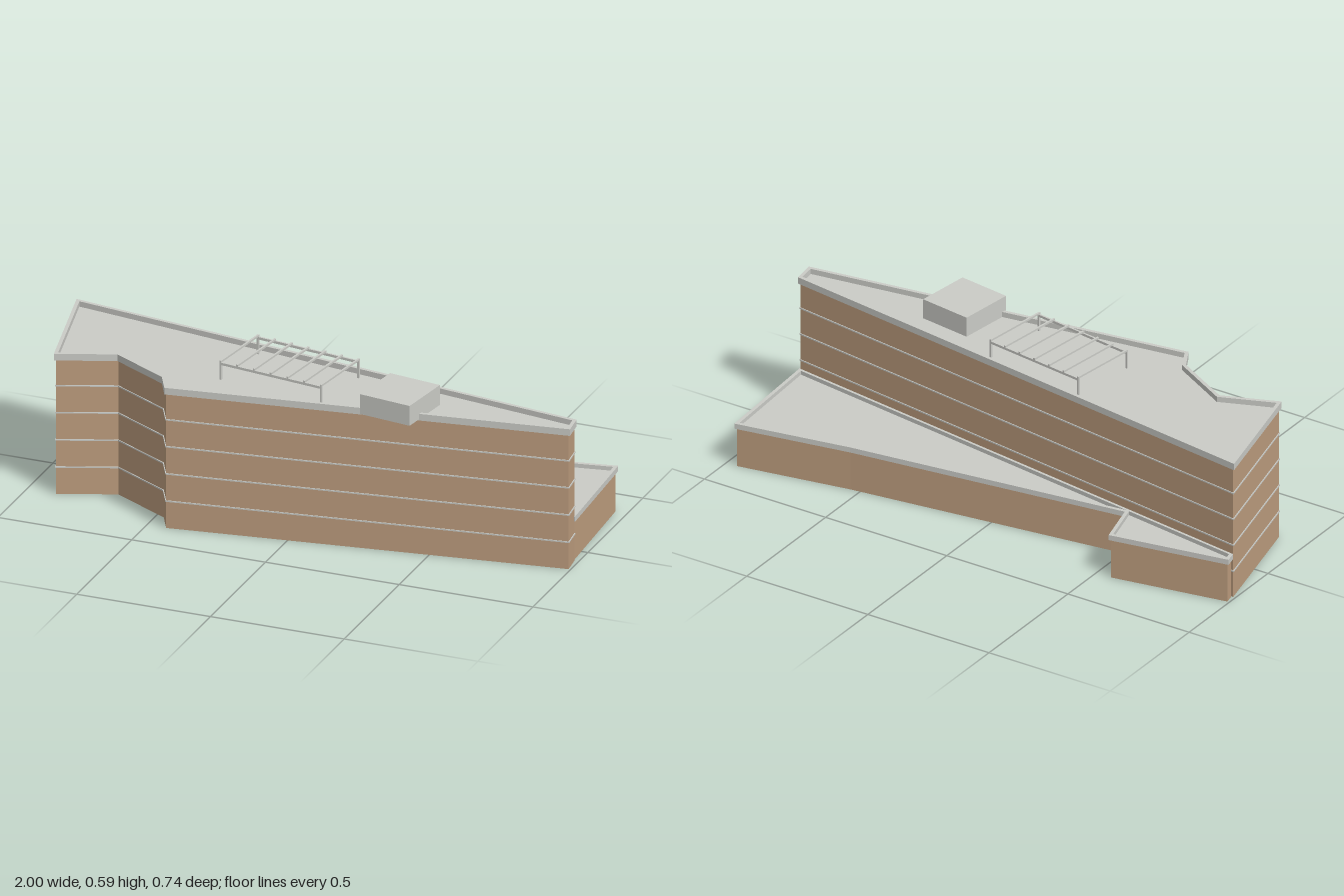
import * as THREE from 'three';

const brick = new THREE.MeshStandardMaterial({ color: 0xbd9d7e, side: THREE.DoubleSide });
brick.name = 'tan cladding';
const concrete = new THREE.MeshStandardMaterial({ color: 0xcacbc6, side: THREE.DoubleSide });
concrete.name = 'pale grey concrete';

// Outer eave outlines as [x, z], running anticlockwise seen from above
const TOWER = [[-1, -0.215], [-0.895, 0.248], [-0.69, 0.168], [-0.475, 0.287],
  [-0.432, 0.369], [1, 0.162], [0.99, 0.077]];
const WING = [[0.988, 0.087], [0.962, -0.369], [0.535, -0.293], [-0.512, -0.158],
  [-0.556, -0.328], [-1, -0.25], [-0.99, -0.203]];

// Moves every edge of an outline inwards by d with mitred corners
function inset(pts, d) {
  const n = pts.length;
  return pts.map((p, i) => {
    const a = pts[(i + n - 1) % n], b = pts[(i + 1) % n];
    const normal = (s, e) => {
      const l = Math.hypot(e[0] - s[0], e[1] - s[1]);
      return [(e[1] - s[1]) / l, -(e[0] - s[0]) / l];
    };
    const m = normal(a, p), k = normal(p, b);
    const f = d / (1 + m[0] * k[0] + m[1] * k[1]);
    return [p[0] + (m[0] + k[0]) * f, p[1] + (m[1] + k[1]) * f];
  });
}

const toVectors = pts => pts.map(([x, z]) => new THREE.Vector2(x, -z));

function add(parent, name, geometry, material) {
  const mesh = new THREE.Mesh(geometry, material);
  mesh.name = name;
  parent.add(mesh);
  return mesh;
}

// Open-bottomed wall sheet following an outline
function wallGeometry(pts, height, closed) {
  const pos = [];
  const count = closed ? pts.length : pts.length - 1;
  for (let i = 0; i < count; i++) {
    const [ax, az] = pts[i], [bx, bz] = pts[(i + 1) % pts.length];
    pos.push(ax, 0, az, bx, 0, bz, bx, height, bz, ax, 0, az, bx, height, bz, ax, height, az);
  }
  const g = new THREE.BufferGeometry();
  g.setAttribute('position', new THREE.Float32BufferAttribute(pos, 3));
  g.computeVertexNormals();
  return g;
}

// Horizontal ring between two outlines
function ringGeometry(outer, inner, y, height) {
  const shape = new THREE.Shape(toVectors(outer));
  shape.holes.push(new THREE.Path(toVectors(inner)));
  return new THREE.ExtrudeGeometry(shape, { depth: height, bevelEnabled: false })
    .rotateX(-Math.PI / 2).translate(0, y, 0);
}

function buildBlock(name, outline, roofY, rimY, rimTop, closed) {
  const block = new THREE.Group();
  block.name = name;
  const wall = inset(outline, 0.007);
  add(block, name + 'Walls', wallGeometry(wall, roofY, closed), brick);
  const roof = new THREE.ShapeGeometry(new THREE.Shape(toVectors(wall)));
  add(block, name + 'Roof', roof.rotateX(-Math.PI / 2).translate(0, roofY, 0), concrete);
  add(block, name + 'Parapet',
    ringGeometry(outline, inset(outline, 0.013), rimY, rimTop - rimY), concrete);
  return block;
}

function box(parent, name, w, h, d, x, y, z) {
  add(parent, name, new THREE.BoxGeometry(w, h, d), concrete).position.set(x, y, z);
}

// Roof pergola: four posts, two long beams, seven cross slats
function buildPergola() {
  const g = new THREE.Group();
  g.name = 'pergola';
  const L = 0.41, W = 0.26, t = 0.007;
  for (const s of [-1, 1]) {
    const z = s * (W - t) / 2;
    box(g, 'beam', L, 0.009, t, 0, 0.5735, z);
    for (const e of [-1, 1]) box(g, 'post', t, 0.058, t, e * (L - t) / 2, 0.541, z);
  }
  for (let i = 0; i < 7; i++) {
    box(g, 'slat', t, 0.007, W, (i / 6 - 0.5) * (L - t), 0.5815, 0);
  }
  g.position.set(-0.078, 0, 0.09);
  g.rotation.y = -0.142;
  return g;
}

export function createModel() {
  const model = new THREE.Group();
  model.name = 'officeBuilding';

  const tower = buildBlock('tower', TOWER, 0.513, 0.508, 0.533, true);
  model.add(tower);
  model.add(buildBlock('lowWing', WING, 0.155, 0.15, 0.17, false));

  // Thin string courses marking the floors
  for (const y of [0.1, 0.203, 0.306, 0.408]) {
    add(tower, 'floorBand',
      ringGeometry(inset(TOWER, 0.004), inset(TOWER, 0.008), y, 0.005), concrete);
  }

  // Rooftop plant room overhanging the front edge
  const plant = new THREE.Group();
  plant.name = 'plantRoom';
  box(plant, 'plantRoomBox', 0.2, 0.075, 0.207, 0, 0.5505, 0);
  plant.position.set(0.374, 0, 0.187);
  plant.rotation.y = -0.142;
  model.add(plant);

  model.add(buildPergola());
  return model;
}
